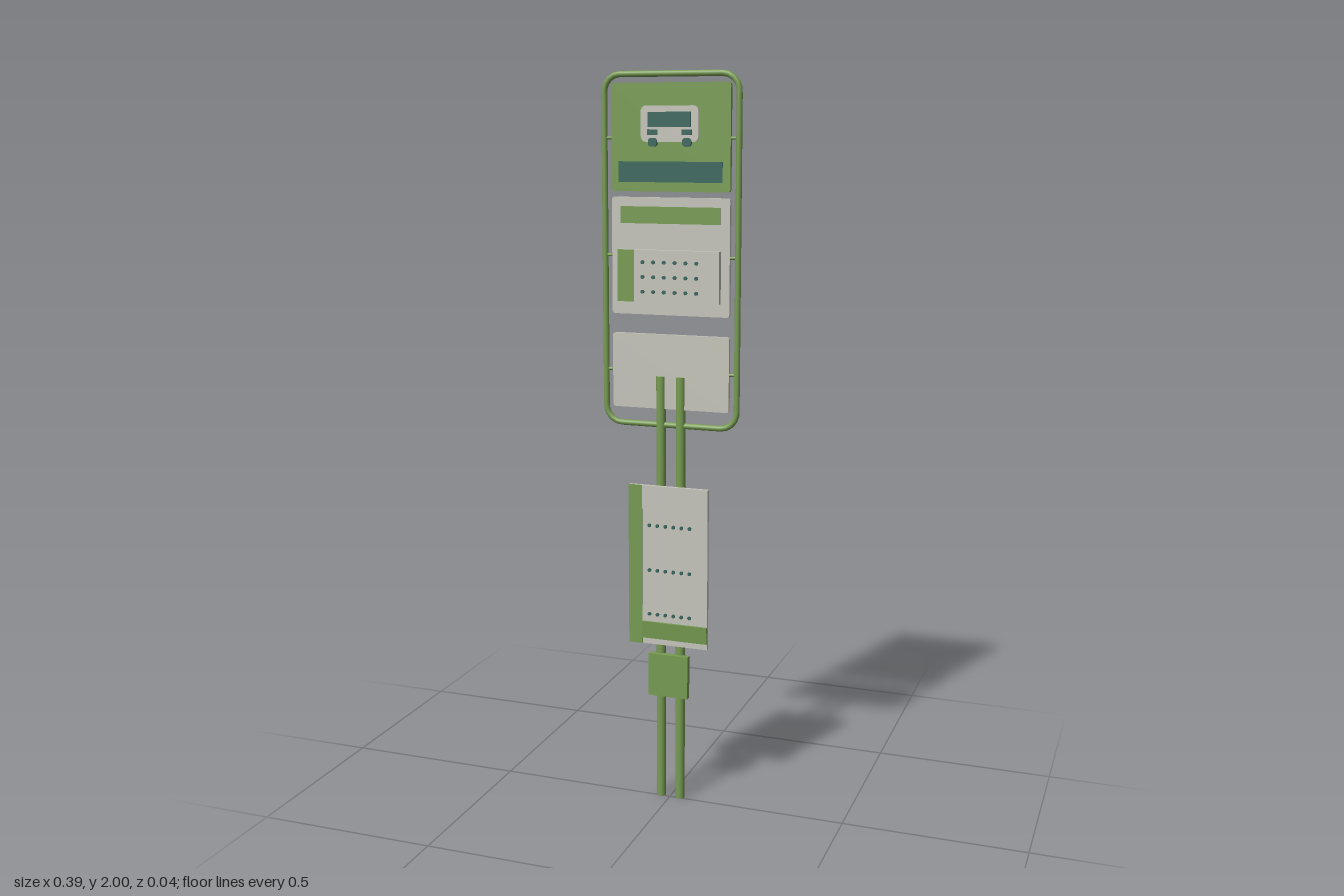
import * as THREE from 'three';

const mat = (name, color, extra = {}) => {
  const m = new THREE.MeshStandardMaterial({ color, ...extra });
  m.name = name;
  return m;
};

// Rounded rectangle outline centred on the origin
function roundedRect(w, h, r) {
  const s = new THREE.Shape();
  const x = w / 2, y = h / 2;
  s.moveTo(-x + r, -y);
  s.lineTo(x - r, -y);
  s.absarc(x - r, -y + r, r, -Math.PI / 2, 0);
  s.lineTo(x, y - r);
  s.absarc(x - r, y - r, r, 0, Math.PI / 2);
  s.lineTo(-x + r, y);
  s.absarc(-x + r, y - r, r, Math.PI / 2, Math.PI);
  s.lineTo(-x, -y + r);
  s.absarc(-x + r, -y + r, r, Math.PI, Math.PI * 1.5);
  return s;
}

// Closed path made of four straight sides and four quarter bends
class FramePath extends THREE.Curve {
  constructor(w, h, r) {
    super();
    this.points = roundedRect(w, h, r);
  }
  getPoint(t, target = new THREE.Vector3()) {
    const p = this.points.getPointAt(t % 1);
    return target.set(p.x, p.y, 0);
  }
}

export function createModel() {
  const group = new THREE.Group();
  group.name = 'busStopSign';
  const green = mat('leaf green', 0x779c52);
  const grey = mat('light grey', 0xc6c6bc);
  const teal = mat('dark teal', 0x36665c);

  const add = (name, geometry, material, x = 0, y = 0, z = 0) => {
    const m = new THREE.Mesh(geometry, material);
    m.name = name;
    m.position.set(x, y, z);
    group.add(m);
    return m;
  };
  // Box given by its extents on each axis
  const block = (name, material, x0, x1, y0, y1, z0, z1) =>
    add(name, new THREE.BoxGeometry(x1 - x0, y1 - y0, z1 - z0), material,
      (x0 + x1) / 2, (y0 + y1) / 2, (z0 + z1) / 2);
  // Plate with rounded corners
  const plate = (name, material, x0, x1, y0, y1, z0, z1, r) =>
    add(name, new THREE.ExtrudeGeometry(roundedRect(x1 - x0, y1 - y0, r),
      { depth: z1 - z0, bevelEnabled: false, curveSegments: 6 }), material,
      (x0 + x1) / 2, (y0 + y1) / 2, z0);
  // Short round stud facing forward
  const stud = (name, x, y, r, z0, z1) => {
    const g = new THREE.CylinderGeometry(r, r, z1 - z0, 14).rotateX(Math.PI / 2);
    return add(name, g, teal, x, y, (z0 + z1) / 2);
  };
  const studGrid = (name, xs, rows, r, z0, z1) => {
    for (const y of rows)
      for (let i = 0; i < 6; i++) stud(name, xs[0] + (xs[1] - xs[0]) * i / 5, y, r, z0, z1);
  };

  // Tubular frame
  add('frame', new THREE.TubeGeometry(new FramePath(0.37, 0.919, 0.045), 160, 0.008, 12, true),
    green, 0, 1.5325, -0.008);

  // Twin posts
  for (const side of [-1, 1])
    add('post', new THREE.CylinderGeometry(0.013, 0.013, 1.205, 24), green, side * 0.028, 0.6025, -0.008);

  // Clips between panels and frame
  for (const y of [1.83, 1.525, 1.218])
    for (const side of [-1, 1])
      add('clip', new THREE.CylinderGeometry(0.004, 0.004, 0.026, 10).rotateZ(Math.PI / 2),
        green, side * 0.172, y, -0.008);

  // Three sign panels
  plate('topPanel', green, -0.164, 0.164, 1.693, 1.97, -0.013, -0.003, 0.008);
  plate('middlePanel', grey, -0.164, 0.164, 1.37, 1.678, -0.013, -0.003, 0.008);
  plate('bottomPanel', grey, -0.164, 0.164, 1.117, 1.318, -0.013, -0.003, 0.008);

  // Vehicle pictogram
  plate('pictogramBody', grey, -0.08, 0.078, 1.82, 1.912, -0.003, 0.001, 0.014);
  block('pictogramWindow', teal, -0.06, 0.058, 1.858, 1.896, 0.001, 0.004);
  for (const side of [-1, 1]) {
    block('pictogramLamp', teal, side * 0.047 - 0.014, side * 0.047 + 0.014, 1.837, 1.852, 0.001, 0.004);
    plate('pictogramWheel', teal, side * 0.047 - 0.012, side * 0.047 + 0.012, 1.808, 1.83, -0.003, 0.005, 0.008);
  }

  // Name bands
  block('nameBand', teal, -0.143, 0.143, 1.717, 1.77, -0.003, 0);
  block('routeBand', green, -0.138, 0.138, 1.61, 1.654, -0.003, 0);

  // Timetable box
  block('timetableBox', grey, -0.142, 0.14, 1.405, 1.542, -0.003, 0.012);
  block('timetableBar', green, -0.142, -0.098, 1.405, 1.542, 0.012, 0.016);
  studGrid('timetableDot', [-0.072, 0.078], [1.51, 1.471, 1.432], 0.005, 0.011, 0.016);

  // Lower information board
  block('infoBoard', grey, -0.113, 0.113, 0.455, 0.906, 0.004, 0.014);
  block('infoBoardBar', green, -0.114, -0.075, 0.455, 0.906, 0.012, 0.017);
  studGrid('infoDot', [-0.054, 0.062], [0.795, 0.668, 0.542], 0.005, 0.013, 0.018);

  // Sloping ledge at the foot of the board
  const ledge = block('infoLedge', green, -0.075, 0.113, 0.472, 0.52, 0.013, 0.021);
  const p = ledge.geometry.attributes.position;
  for (let i = 0; i < p.count; i++)
    if (p.getZ(i) > 0 && p.getY(i) < 0) p.setZ(i, p.getZ(i) - 0.003);
  ledge.geometry.computeVertexNormals();

  // Small service box on the posts
  block('serviceBox', green, -0.057, 0.057, 0.305, 0.427, -0.001, 0.016);

  return group;
}
